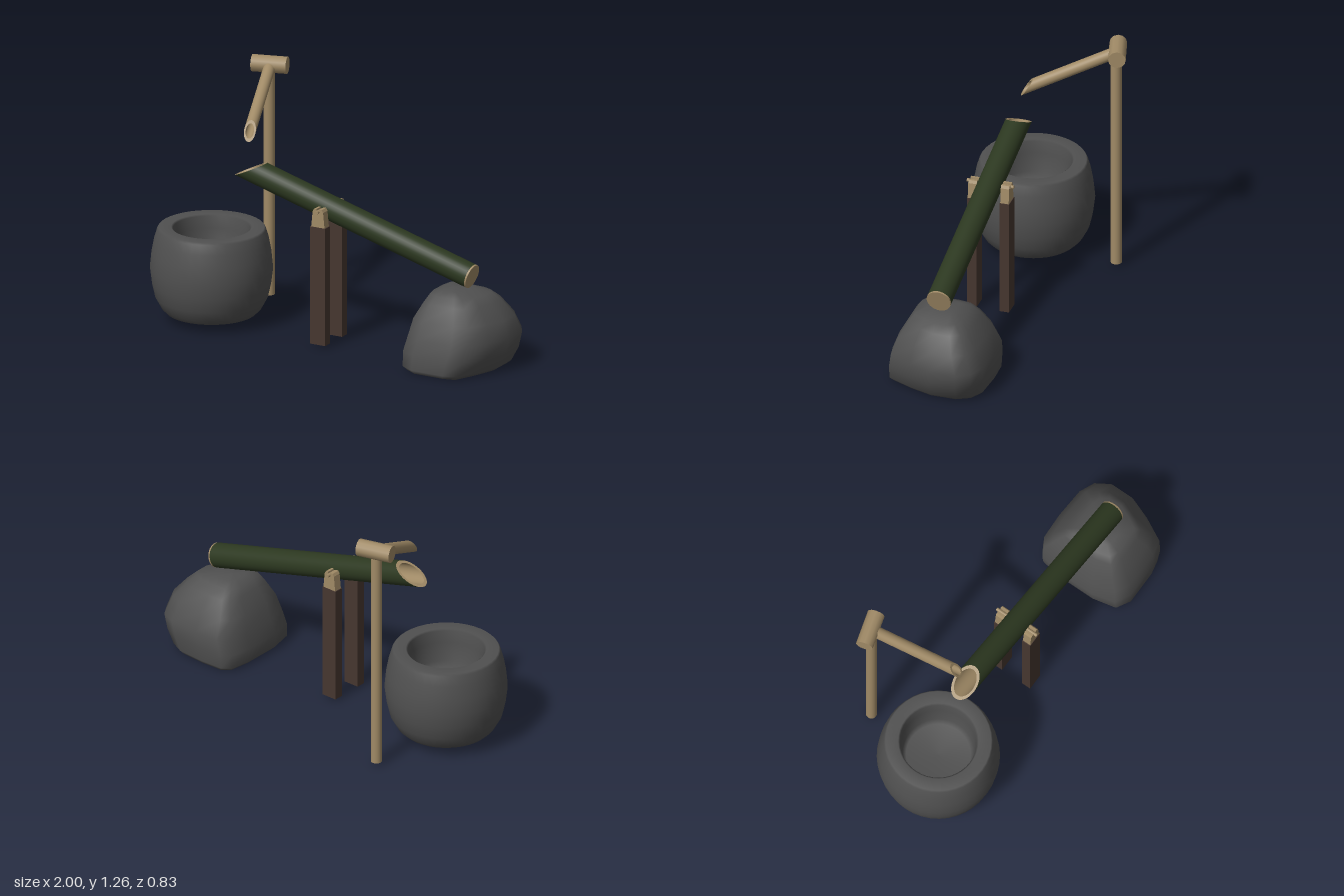
import * as THREE from 'three';

const mat = (name, color, extra = {}) => {
  const m = new THREE.MeshStandardMaterial({ color, ...extra });
  m.name = name;
  return m;
};

export function createModel() {
  const root = new THREE.Group();
  root.name = 'bambooFountain';
  const stone = mat('stone', 0x505050);
  const tan = mat('dryBamboo', 0xa08a66, { side: THREE.DoubleSide });
  const green = mat('greenBamboo', 0x2c3820);
  const wood = mat('darkWood', 0x46362f);

  const add = (name, geo, material, parent = root, pos = [0, 0, 0]) => {
    const mesh = new THREE.Mesh(geo, material);
    mesh.name = name;
    mesh.position.set(...pos);
    parent.add(mesh);
    return mesh;
  };

  // Hollow cane from start to end; its far end is cut at a slant, longest underneath
  function slantedCane(name, start, end, r, inner, slope, hollow, skin) {
    const a = new THREE.Vector3(...start), d = new THREE.Vector3(...end).sub(a);
    const len = d.length();
    d.normalize();
    const side = d.clone().cross(new THREE.Vector3(0, 1, 0)).normalize();
    const up = side.clone().cross(d);
    const group = new THREE.Group();
    group.name = name;
    group.quaternion.setFromRotationMatrix(new THREE.Matrix4().makeBasis(side, d, up));
    group.position.copy(a);
    root.add(group);

    const shear = (geo, from) => {
      const p = geo.attributes.position;
      for (let i = 0; i < p.count; i++) {
        if (p.getY(i) > from) p.setY(i, p.getY(i) - slope * p.getZ(i));
      }
      return geo;
    };
    const tube = (radius, y0) => shear(
      new THREE.CylinderGeometry(radius, radius, len - y0, 28, 1, true).translate(0, (len + y0) / 2, 0), len - 0.001);
    const disc = (radius, y, dir) => new THREE.CircleGeometry(radius, 28).rotateX(-dir * Math.PI / 2).translate(0, y, 0);

    add(name + 'Skin', tube(r, 0), skin, group);
    add(name + 'Bore', tube(inner, len - hollow), tan, group);
    const rim = new THREE.RingGeometry(inner, r, 28).rotateX(-Math.PI / 2).translate(0, len, 0);
    shear(rim, len - 0.001).computeVertexNormals();
    add(name + 'Rim', rim, tan, group);
    add(name + 'Node', disc(inner, len - hollow, 1), tan, group);
    add(name + 'End', disc(r, 0, -1), tan, group);
    return group;
  }

  // Stone basin
  const profile = [[0, 0.045], [0.2, 0.045], [0.225, 0.05], [0.25, 0.075], [0.28, 0.13], [0.296, 0.2], [0.306, 0.28],
    [0.298, 0.36], [0.285, 0.43], [0.27, 0.48], [0.262, 0.49], [0.2, 0.49], [0.191, 0.483],
    [0.187, 0.42], [0.178, 0.32], [0.16, 0.295], [0, 0.29]];
  add('basin', new THREE.LatheGeometry(profile.map(p => new THREE.Vector2(...p)), 40), stone, root, [-0.693, 0, 0.107]);

  // Water pipe: upright, head and spout
  add('pipePost', new THREE.CylinderGeometry(0.028, 0.028, 1.18, 20), tan, root, [-0.625, 0.61, -0.347]);
  const head = add('pipeHead', new THREE.CylinderGeometry(0.044, 0.044, 0.18, 12).rotateZ(Math.PI / 2), tan, root,
    [-0.625, 1.218, -0.354]);
  head.rotation.y = 0.28;
  slantedCane('spout', [-0.62, 1.216, -0.35], [-0.492, 1.012, 0.075], 0.03, 0.021, 1.6, 0.12, tan);

  // Tipping cane with a thin pale end plate
  const cane = slantedCane('tippingCane', [0.793, 0.478, 0.11], [-0.465, 0.83, 0.11], 0.0625, 0.05, 1.14, 0.28, green);
  add('caneEndPlate', new THREE.CylinderGeometry(0.062, 0.062, 0.009, 28), tan, cane, [0, -0.0045, 0]);

  // Two supports with notched pale caps and pivot pin ends
  const cap = new THREE.Shape([[-0.038, 0], [0.038, 0], [0.03, 0.08], [0.022, 0.094], [0.009, 0.094],
    [0.006, 0.07], [-0.006, 0.07], [-0.009, 0.094], [-0.022, 0.094], [-0.03, 0.08]].map(p => new THREE.Vector2(...p)));
  for (const s of [-1, 1]) {
    const z = 0.11 + s * 0.085;
    add('supportPost', new THREE.BoxGeometry(0.085, 0.612, 0.05), wood, root, [-0.021, 0.321, z]);
    add('supportCap', new THREE.ExtrudeGeometry(cap, { depth: 0.044, bevelEnabled: false }).translate(0, 0, -0.022),
      tan, root, [-0.021, 0.627, z]);
    add('pivotPin', new THREE.CylinderGeometry(0.009, 0.009, 0.064, 12).rotateX(Math.PI / 2), tan, root,
      [-0.021, 0.707, 0.11 + s * 0.09]);
  }

  // Striking rock: one outline fitted to the extents of each layer
  const outline = [[0.04, 0.07], [0.14, 0.01], [0.42, 0], [0.75, 0.02], [0.91, 0.09], [1, 0.23], [1, 0.5],
    [0.91, 0.73], [0.78, 0.97], [0.62, 1], [0.22, 1], [0.06, 0.92], [0, 0.68], [0, 0.3]];
  const layers = [ // y, x range, z range
    [0.005, 0.72, 0.72, 0.11, 0.11], [0.005, 0.52, 0.92, -0.13, 0.35], [0.025, 0.5, 0.945, -0.145, 0.365],
    [0.1, 0.495, 0.985, -0.15, 0.36], [0.18, 0.515, 1, -0.155, 0.345], [0.27, 0.535, 0.975, -0.11, 0.312],
    [0.35, 0.58, 0.91, -0.06, 0.268], [0.388, 0.605, 0.872, -0.015, 0.24], [0.407, 0.65, 0.78, 0.04, 0.19],
    [0.41, 0.7, 0.7, 0.11, 0.11]];
  const n = outline.length, pos = [], index = [];
  layers.forEach(([y, x0, x1, z0, z1], i) => outline.forEach(([u, v], j) => {
    pos.push(x0 + (x1 - x0) * u, y, z0 + (z1 - z0) * v);
    if (i === layers.length - 1) return;
    const a = i * n + j, b = i * n + (j + 1) % n;
    index.push(a, a + n, b, b, a + n, b + n);
  }));
  const rock = new THREE.BufferGeometry();
  rock.setAttribute('position', new THREE.Float32BufferAttribute(pos, 3));
  rock.setIndex(index);
  rock.computeVertexNormals();
  add('rock', rock, stone);

  return root;
}
